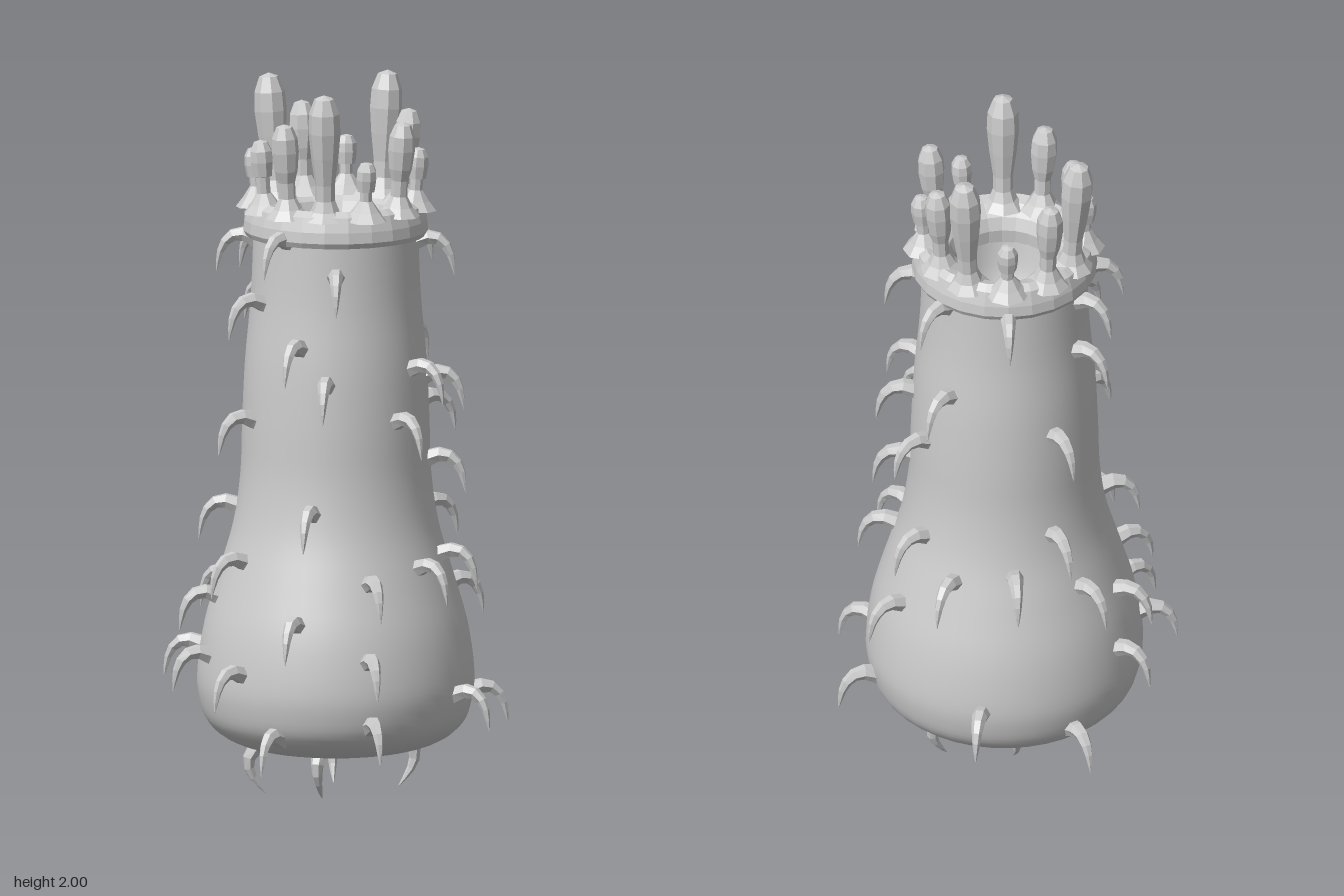
import * as THREE from 'three';

const smooth = new THREE.MeshStandardMaterial({ color: 0xcccccc, side: THREE.DoubleSide });
const faceted = new THREE.MeshStandardMaterial({ color: 0xcccccc, flatShading: true, side: THREE.DoubleSide });
const vec2 = (list) => list.map(([x, y]) => new THREE.Vector2(x, y));

// Outer profile of the trunk, bottom to top
const trunkCurve = new THREE.SplineCurve(vec2([
  [0, 0.125], [0.18, 0.125], [0.29, 0.15], [0.355, 0.2], [0.38, 0.27], [0.384, 0.35], [0.365, 0.48],
  [0.325, 0.62], [0.285, 0.76], [0.265, 0.9], [0.26, 1.05], [0.252, 1.22], [0.236, 1.4], [0.228, 1.6],
]));
const trunkProfile = trunkCurve.getPoints(52);
trunkProfile.forEach((p) => { p.x = Math.max(p.x, 0); });

// Trunk radius at a height on its side
function radiusAt(y) {
  for (let i = 1; i < trunkProfile.length; i++) {
    const a = trunkProfile[i - 1], b = trunkProfile[i];
    if (a.x > 0.25 || b.x > 0.25 || b.y > 0.2) {
      if (b.y >= y && b.y > a.y) return THREE.MathUtils.mapLinear(y, a.y, b.y, a.x, b.x);
    }
  }
  return 0.228;
}

// Tapered hook: goes out along +z, then bends down
function hookGeometry() {
  const curve = new THREE.CatmullRomCurve3([
    [-0.025, -0.005], [0.03, 0.017], [0.065, 0.008], [0.09, -0.03], [0.102, -0.09],
  ].map(([z, y]) => new THREE.Vector3(0, y, z)));
  const rings = 7, sides = 6;
  const geo = new THREE.TubeGeometry(curve, rings, 1, sides);
  const pos = geo.attributes.position, v = new THREE.Vector3();
  for (let i = 0; i < pos.count; i++) {
    const t = Math.floor(i / (sides + 1)) / rings;
    const c = curve.getPointAt(t);
    v.fromBufferAttribute(pos, i).sub(c).multiplyScalar(0.027 * (1 - t) ** 0.8 + 0.001).add(c);
    pos.setXYZ(i, v.x, v.y, v.z);
  }
  geo.computeVertexNormals();
  return geo;
}

// Club-shaped tentacle with a flared foot, y from 0 to h
function tentacleGeometry(h, r) {
  return new THREE.LatheGeometry(vec2([
    [0.062, 0], [0.04, 0.025], [r * 0.62, 0.055], [r * 0.62, 0.1], [r * 0.85, h * 0.5],
    [r, h * 0.7], [r * 0.95, h * 0.85], [r * 0.6, h * 0.97], [0, h],
  ]), 8);
}

export function createModel() {
  const model = new THREE.Group();
  model.name = 'spinyCreature';
  const axis = new THREE.Group();
  axis.name = 'creatureBody';
  axis.position.set(0.013, 0, -0.045);
  model.add(axis);

  const add = (name, geo, mat) => {
    const mesh = new THREE.Mesh(geo, mat);
    mesh.name = name;
    axis.add(mesh);
    return mesh;
  };

  add('trunk', new THREE.LatheGeometry(trunkProfile, 40), smooth);

  // Hollow throat inside the rim
  const throat = new THREE.SplineCurve(vec2([[0.15, 1.62], [0.142, 1.56], [0.12, 1.46], [0.07, 1.39], [0, 1.37]]));
  add('throat', new THREE.LatheGeometry(throat.getPoints(12), 32), smooth);

  // Faceted collar
  add('collar', new THREE.LatheGeometry(vec2([
    [0.225, 1.575], [0.25, 1.57], [0.258, 1.585], [0.255, 1.615], [0.243, 1.655],
    [0.222, 1.67], [0.19, 1.66], [0.155, 1.635], [0.14, 1.6], [0.142, 1.56],
  ]), 24), faceted);

  // Ring of tentacles: [x, z, top height] around the axis
  const tentacles = [
    [-0.056, -0.225, 2.0], [0.06, -0.21, 1.91], [0.167, -0.16, 1.82], [0.224, -0.06, 1.91],
    [0.222, 0.065, 1.81], [0.152, 0.16, 2.0], [0.05, 0.22, 1.91], [-0.063, 0.215, 1.85],
    [-0.163, 0.16, 1.81], [-0.223, 0.06, 2.0], [-0.223, -0.055, 1.91], [-0.163, -0.165, 1.81],
  ];
  for (const [x, z, top] of tentacles) {
    const base = 1.645, h = top - base;
    const m = add('tentacle', tentacleGeometry(h, 0.016 + h * 0.082), faceted);
    const a = Math.atan2(x, z), lean = 0.07;
    const foot = Math.hypot(x, z) - Math.sin(lean) * h * 0.9;
    m.position.set(Math.sin(a) * foot, base, Math.cos(a) * foot);
    m.rotation.set(lean, a, 0, 'YXZ');
  }

  // Hooks on the side: [degrees from the front towards +x, height]
  const hooks = [
    [-42, 1.55], [15, 1.575], [-9, 1.39], [28, 1.28], [-12, 1.06], [-39, 0.8], [38, 0.82], [-5, 0.67],
    [-25, 0.56], [34, 0.52], [-46, 0.4], [-18, 0.4], [8, 0.37], [25, 0.2],
    [52, 1.48], [46, 1.18], [109, 1.21], [93, 1.07], [69, 0.63], [100, 0.66], [66, 0.42], [113, 0.3], [67, 0.24],
    [135, 1.55], [178, 1.55], [137, 1.17], [185, 1.27], [133, 0.94], [170, 0.78], [125, 0.68], [165, 0.56], [150, 0.27],
    [225, 1.56], [165, 1.08], [255, 1.15], [252, 0.83], [228, 0.72], [195, 0.69], [213, 0.32],
    [285, 1.53], [280, 1.38], [265, 0.65], [290, 0.57], [280, 0.42], [253, 0.23],
  ];
  const hookGeo = hookGeometry();
  for (const [deg, y] of hooks) {
    const a = THREE.MathUtils.degToRad(deg), r = radiusAt(y);
    const m = add('hook', hookGeo, faceted);
    m.position.set(Math.sin(a) * r, y, Math.cos(a) * r);
    m.rotation.y = a;
  }

  // Hooks under the foot: [degrees, distance from the axis]
  for (const [deg, r] of [[35, 0.13], [165, 0.19], [235, 0.12], [335, 0.2]]) {
    const a = THREE.MathUtils.degToRad(deg);
    const m = add('footHook', hookGeo, faceted);
    m.position.set(Math.sin(a) * r, 0.118, Math.cos(a) * r);
    m.rotation.set(0.85, a, 0, 'YXZ');
    // Keep the lowest tips on the ground
    m.updateMatrix();
    const box = new THREE.Box3().setFromBufferAttribute(hookGeo.attributes.position.clone().applyMatrix4(m.matrix));
    m.position.y -= box.min.y;
  }
  return model;
}
